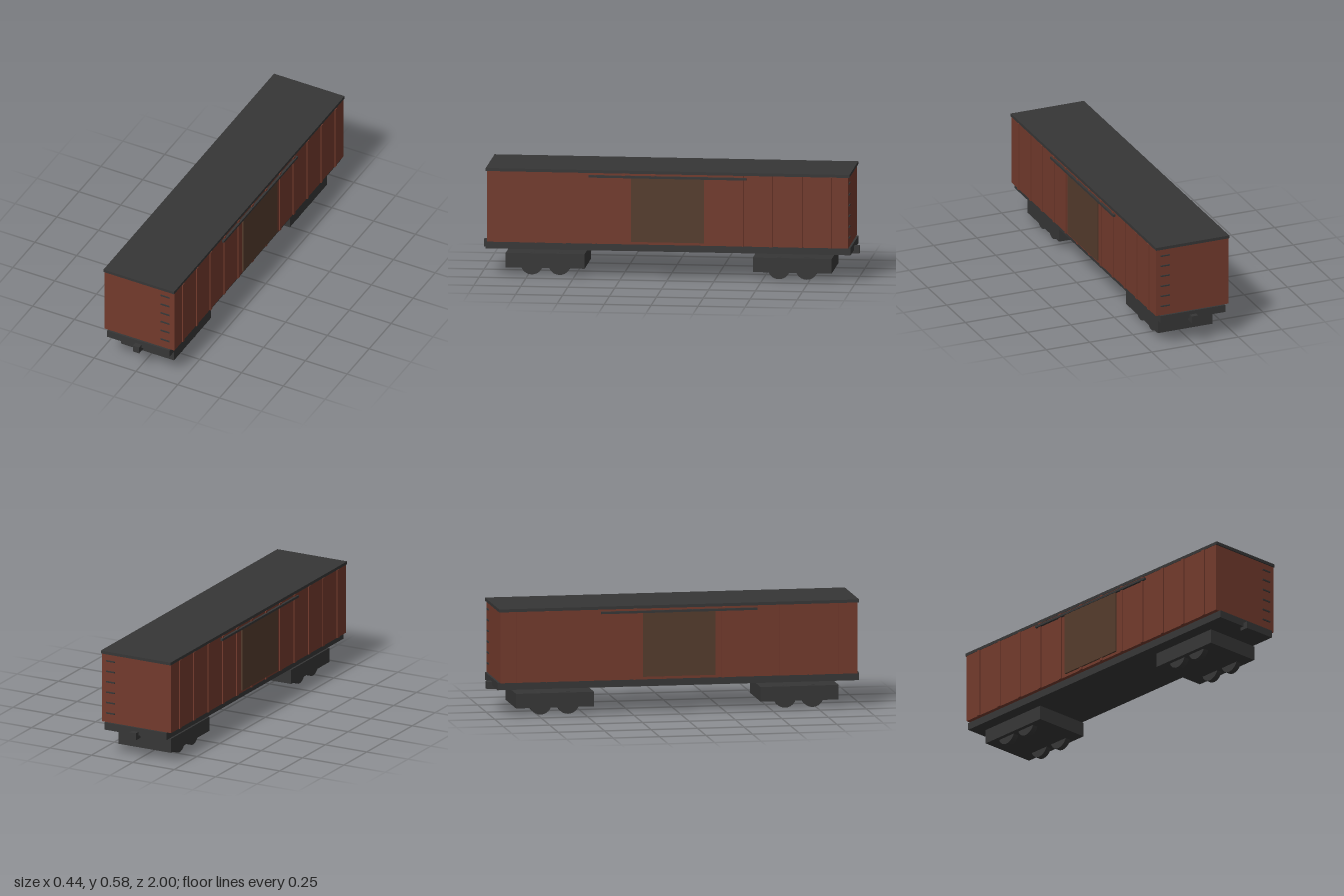
import * as THREE from 'three';

const red = new THREE.MeshStandardMaterial({ color: 0x723a2c });
red.name = 'oxide red';
const dark = new THREE.MeshStandardMaterial({ color: 0x363636 });
dark.name = 'dark grey';
const brown = new THREE.MeshStandardMaterial({ color: 0x543b2c });
brown.name = 'door brown';

export function createModel() {
  const car = new THREE.Group();
  car.name = 'boxcar';

  // Box given by its size and centre
  function box(name, material, [w, h, d], [x, y, z], parent = car) {
    const mesh = new THREE.Mesh(new THREE.BoxGeometry(w, h, d), material);
    mesh.name = name;
    mesh.position.set(x, y, z);
    parent.add(mesh);
    return mesh;
  }

  // Main shell
  box('underframe', dark, [0.374, 0.04, 1.944], [0, 0.165, 0]);
  box('body', red, [0.418, 0.38, 1.922], [0, 0.375, 0]);
  box('roof', dark, [0.422, 0.016, 1.937], [0, 0.573, 0]);

  // Sides: ribs, sliding door and door rail
  for (const s of [-1, 1]) {
    for (let i = 0; i < 12; i++) {
      box('sideRib', red, [0.012, 0.38, 0.019], [s * 0.209, 0.375, (i - 5.5) * 0.1573]);
    }
    box('door', brown, [0.012, 0.35, 0.39], [s * 0.2125, 0.375, 0]);
    box('doorRail', dark, [0.014, 0.012, 0.84], [s * 0.2145, 0.548, 0]);
  }

  // Ends: ladder rungs, coupler and truck
  const wheelGeometry = new THREE.CylinderGeometry(0.06, 0.06, 0.032, 24).rotateZ(Math.PI / 2);
  for (const s of [-1, 1]) {
    for (let i = 0; i < 6; i++) {
      box('ladderRung', dark, [0.053, 0.007, 0.008], [0.155, 0.237 + i * 0.058, s * 0.962]);
    }
    box('coupler', dark, [0.038, 0.039, 0.052], [0, 0.1455, s * 0.974]);

    const truck = new THREE.Group();
    truck.name = 'truck';
    truck.position.z = s * 0.658;
    car.add(truck);
    box('truckFrame', dark, [0.316, 0.078, 0.42], [0, 0.079, 0], truck);
    for (const x of [-0.119, 0.119]) {
      for (const z of [-0.074, 0.074]) {
        const wheel = new THREE.Mesh(wheelGeometry, dark);
        wheel.name = 'wheel';
        wheel.position.set(x, 0.06, z);
        truck.add(wheel);
      }
    }
  }
  return car;
}
